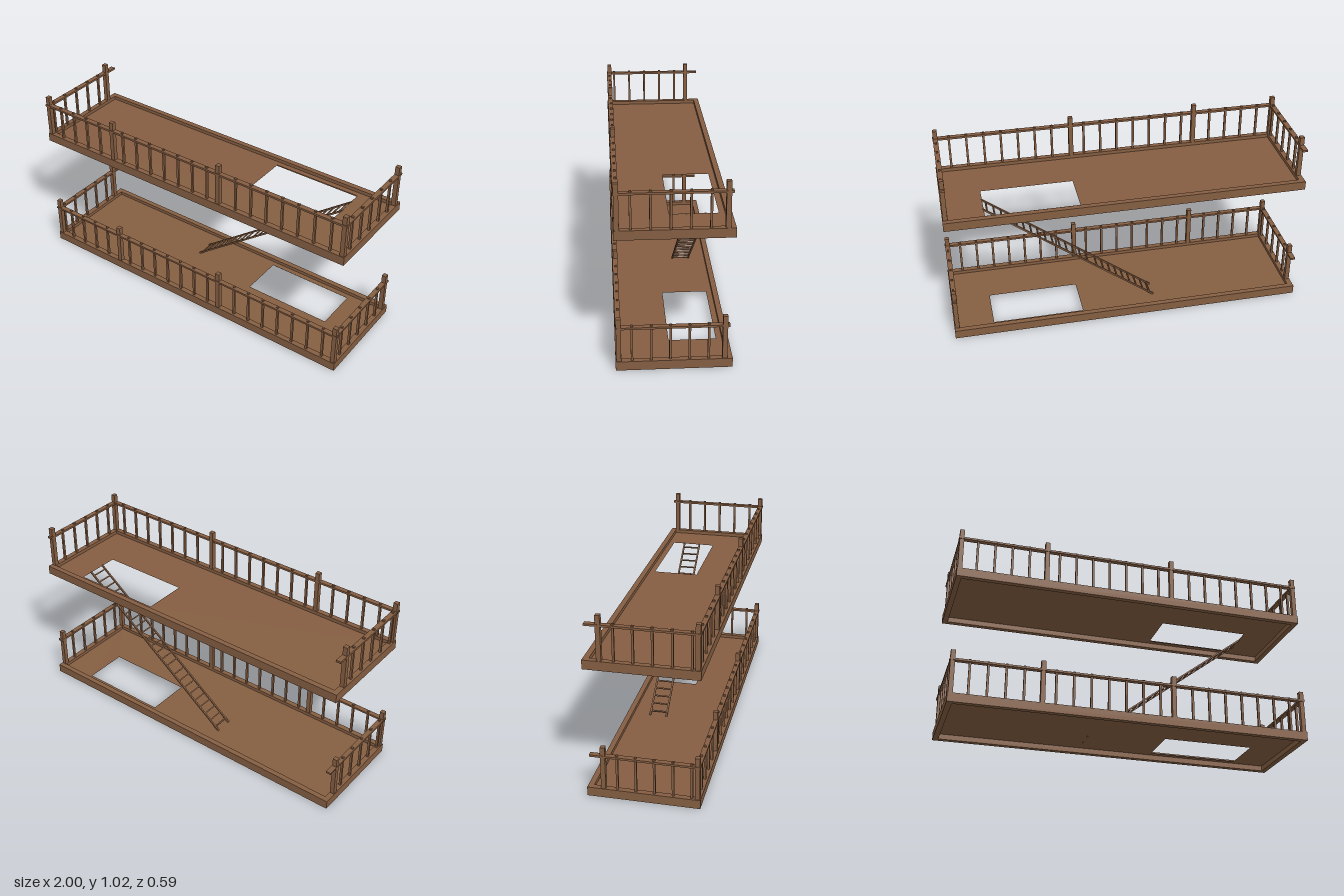
import * as THREE from 'three';

export function createModel() {
  const model = new THREE.Group();
  const wood = new THREE.MeshStandardMaterial({ color: 0x855e42 });
  wood.name = 'brown wood';
  const floorWood = wood.clone();
  floorWood.side = THREE.DoubleSide;

  function box(parent, name, w, h, d, x, y, z) {
    const mesh = new THREE.Mesh(new THREE.BoxGeometry(w, h, d), wood);
    mesh.name = name;
    mesh.position.set(x, y, z);
    parent.add(mesh);
    return mesh;
  }

  // One deck: rim beams, thin floor with a hatch, and railings on three sides
  function deck(name, baseY) {
    const g = new THREE.Group();
    g.name = name;
    g.position.y = baseY;

    for (const s of [-1, 1]) {
      box(g, 'longRimBeam', 2, 0.05, 0.03, 0, 0.025, s * 0.281);
      box(g, 'endRimBeam', 0.03, 0.05, 0.532, s * 0.985, 0.025, 0);
    }

    const shape = new THREE.Shape();
    shape.moveTo(-0.97, -0.266).lineTo(0.97, -0.266).lineTo(0.97, 0.266).lineTo(-0.97, 0.266).closePath();
    const hatch = new THREE.Path();
    hatch.moveTo(0.26, -0.015).lineTo(0.26, 0.235).lineTo(0.775, 0.235).lineTo(0.775, -0.015).closePath();
    shape.holes.push(hatch);
    const floor = new THREE.Mesh(new THREE.ShapeGeometry(shape), floorWood);
    floor.name = 'floor';
    floor.rotation.x = -Math.PI / 2;
    floor.position.y = 0.03;
    g.add(floor);

    const post = (x, z) => box(g, 'post', 0.025, 0.242, 0.025, x, 0.17, z);
    const baluster = (x, z) => box(g, 'baluster', 0.012, 0.202, 0.012, x, 0.15, z);

    // Front railing
    for (const x of [-0.984, -0.505, 0.222, 0.984]) post(x, 0.28);
    for (const [start, count] of [[-0.893, 4], [-0.433, 7], [0.235, 8]]) {
      for (let i = 0; i < count; i++) {
        const x = start + i * 0.0965;
        if (Math.abs(x - 0.222) > 0.03) baluster(x, 0.28);
      }
    }
    box(g, 'frontHandrail', 2, 0.011, 0.028, 0, 0.238, 0.282);

    // End railings, each with its own post and baluster positions
    for (const [x, postZ, firstZ] of [[-0.984, -0.21, 0.25], [0.984, -0.256, 0.213]]) {
      post(x, postZ);
      for (let i = 0; i < 5; i++) baluster(x, firstZ - i * 0.097);
      box(g, 'endHandrail', 0.028, 0.011, 0.548, x, 0.238, -0.006);
    }
    model.add(g);
  }
  deck('lowerDeck', 0);
  deck('upperDeck', 0.727);

  // Sloping ladder between the decks
  const ladder = new THREE.Group();
  ladder.name = 'ladder';
  const [x0, y0, x1, y1] = [-0.172, 0.03, 0.78, 0.757];
  const angle = Math.atan2(y1 - y0, x1 - x0);
  const length = Math.hypot(x1 - x0, y1 - y0);
  for (const z of [-0.072, -0.168]) {
    const rail = box(ladder, 'ladderRail', length, 0.009, 0.009, (x0 + x1) / 2, (y0 + y1) / 2, z);
    rail.rotation.z = angle;
  }
  for (const [first, count] of [[0.048, 9], [0.325, 15]]) {
    for (let i = 0; i < count; i++) {
      const y = first + i * 0.0296;
      const x = x0 + (y - y0) / Math.tan(angle);
      const rung = box(ladder, 'rung', 0.007, 0.007, 0.096, x, y, -0.12);
      rung.rotation.z = angle;
    }
  }
  model.add(ladder);

  return model;
}
